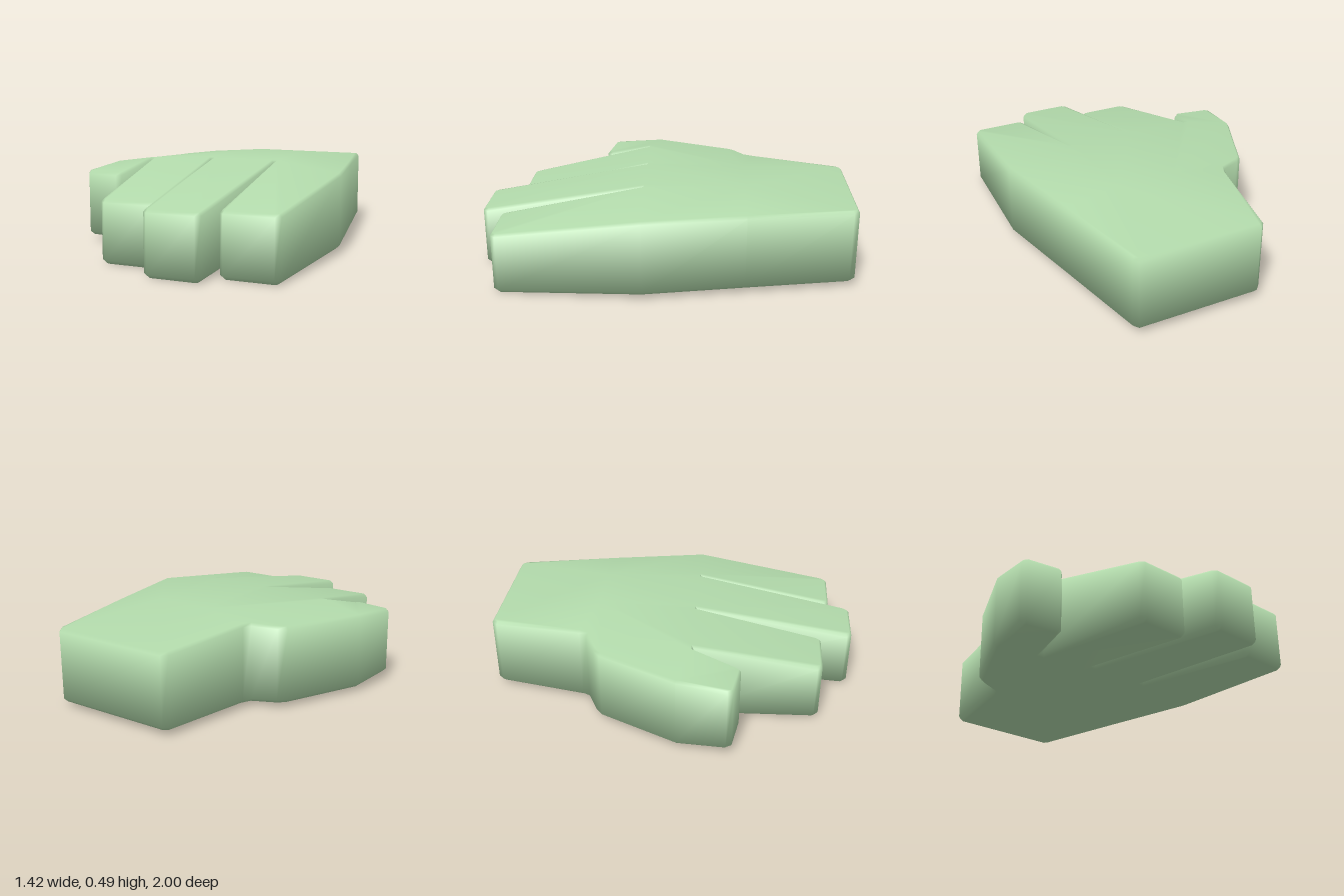
import * as THREE from 'three';

// Outline seen from above, counter-clockwise: [x, z, top, bottom]
const wristHeights = [0.43, 0.028];
const thumbTip = [0.41, 0.043];
const tip = [0.335, 0.002];
const slot = [0.49, 0.07]; // skin between the fingers, raised underneath
const OUTLINE = [
  [-0.18, -1, ...wristHeights], [-0.21, -0.97, ...wristHeights],
  [-0.298, -0.49, 0.46, 0.028], [-0.32, -0.445, 0.46, 0.028],
  [-0.44, -0.385, 0.448, 0.026], [-0.48, -0.35, 0.443, 0.026],
  // thumb
  [-0.675, 0.07, 0.437, 0.025], [-0.71, 0.335, ...thumbTip], [-0.69, 0.365, ...thumbTip],
  [-0.5, 0.395, ...thumbTip], [-0.475, 0.37, ...thumbTip], [-0.42, 0.14, 0.473, 0.025],
  // right finger
  [-0.405, 0.14, 0.475, 0.028], [-0.34, 0.8, ...tip], [-0.313, 0.825, ...tip],
  [-0.057, 0.825, ...tip], [-0.035, 0.8, ...tip], [-0.041, 0.13, ...slot],
  // middle finger
  [-0.035, 0.13, ...slot], [-0.001, 0.975, ...tip], [0.025, 1, ...tip],
  [0.278, 1, ...tip], [0.302, 0.975, ...tip], [0.331, 0.13, ...slot],
  // left finger
  [0.337, 0.13, ...slot], [0.345, 0.86, ...tip], [0.368, 0.885, ...tip],
  [0.628, 0.885, ...tip], [0.653, 0.86, ...tip], [0.708, 0.11, 0.437, 0.03],
  // wrist side
  [0.61, -0.42, 0.437, 0.03], [0.508, -0.97, ...wristHeights], [0.485, -1, ...wristHeights],
];
const N = OUTLINE.length;
// Ridge points on the back of the hand, numbered N and N + 1, over a slightly hollow palm
const RIDGE = [[-0.02, -0.42, 0.485, 0.045], [0.3, -0.42, 0.485, 0.045]];
const A = N, B = N + 1;

const run = (from, to) => Array.from({ length: to - from + 1 }, (_, k) => from + k);

// Each part is a set of panels, each fanned from its first point
const PARTS = {
  wrist: [[0, 1, 2, A], [0, A, B, 32], [32, B, 30, 31]],
  palm: [[A, 2, 3, 4, 5], [A, 5, 6, 11, 12], [A, 12, 17], [A, 17, 18, B],
    [B, 18, 23], [B, 23, 24], [B, 24, 29, 30]],
  thumb: [run(6, 11)],
  rightFinger: [run(12, 17)],
  middleFinger: [run(18, 23)],
  leftFinger: [run(24, 29)],
};

// Mitred inward offset of an outline point
function inset(i, d) {
  const p = OUTLINE[(i + N - 1) % N], q = OUTLINE[i], r = OUTLINE[(i + 1) % N];
  const inward = (a, b) => new THREE.Vector2(b[1] - a[1], a[0] - b[0]).normalize();
  const n1 = inward(p, q), n2 = inward(q, r);
  const m = n1.clone().add(n2).multiplyScalar(d / Math.max(0.5, 1 + n1.dot(n2)));
  return [q[0] + m.x, q[1] + m.y];
}

// Four rings: top inset, upper edge, lower edge, bottom inset
function skinPositions() {
  const rings = [[], [], [], []];
  OUTLINE.forEach(([x, z, top, bottom], i) => {
    const [tx, tz] = inset(i, 0.012), [bx, bz] = inset(i, 0.02);
    rings[0].push(tx, top, tz);
    rings[1].push(x, top - 0.016, z);
    rings[2].push(x, bottom + 0.02, z);
    rings[3].push(bx, bottom, bz);
  });
  const ridge = k => RIDGE.flatMap(p => [p[0], p[k], p[1]]);
  return [...rings.flat(), ...ridge(2), ...ridge(3)];
}

const topVertex = i => (i < N ? i : 4 * N + i - N);
const bottomVertex = i => (i < N ? 3 * N + i : 4 * N + 2 + i - N);

// Top, underside and outer walls of one part
function partIndex(panels) {
  const index = [];
  for (const panel of panels) {
    for (let k = 1; k < panel.length - 1; k++) {
      const [a, b, c] = [panel[0], panel[k], panel[k + 1]];
      index.push(topVertex(a), topVertex(b), topVertex(c));
      index.push(bottomVertex(a), bottomVertex(c), bottomVertex(b));
    }
    panel.forEach((i, k) => {
      const j = panel[(k + 1) % panel.length];
      if (i >= N || j !== (i + 1) % N) return; // only edges on the outline
      for (let r = 0; r < 3; r++) {
        const u = r * N, l = u + N;
        index.push(l + i, l + j, u + j, l + i, u + j, u + i);
      }
    });
  }
  return index;
}

export function createModel() {
  const group = new THREE.Group();
  group.name = 'hand';
  const skin = new THREE.MeshStandardMaterial({ color: 0xb3dbac });
  skin.name = 'pale green skin';

  // One continuous skin, so the normals flow smoothly across the parts
  const whole = new THREE.BufferGeometry();
  whole.setAttribute('position', new THREE.Float32BufferAttribute(skinPositions(), 3));
  whole.setIndex(Object.values(PARTS).flatMap(partIndex));
  whole.computeVertexNormals();

  // Tilt the wall normals up and down for soft, rounded sides
  const normals = whole.attributes.normal, v = new THREE.Vector3();
  for (let i = N; i < 3 * N; i++) {
    v.fromBufferAttribute(normals, i);
    v.y += i < 2 * N ? 0.6 : -0.7;
    v.normalize();
    normals.setXYZ(i, v.x, v.y, v.z);
  }

  for (const [name, panels] of Object.entries(PARTS)) {
    const geometry = new THREE.BufferGeometry();
    geometry.setAttribute('position', whole.attributes.position);
    geometry.setAttribute('normal', normals);
    geometry.setIndex(partIndex(panels));
    const mesh = new THREE.Mesh(geometry, skin);
    mesh.name = name;
    group.add(mesh);
  }
  return group;
}
